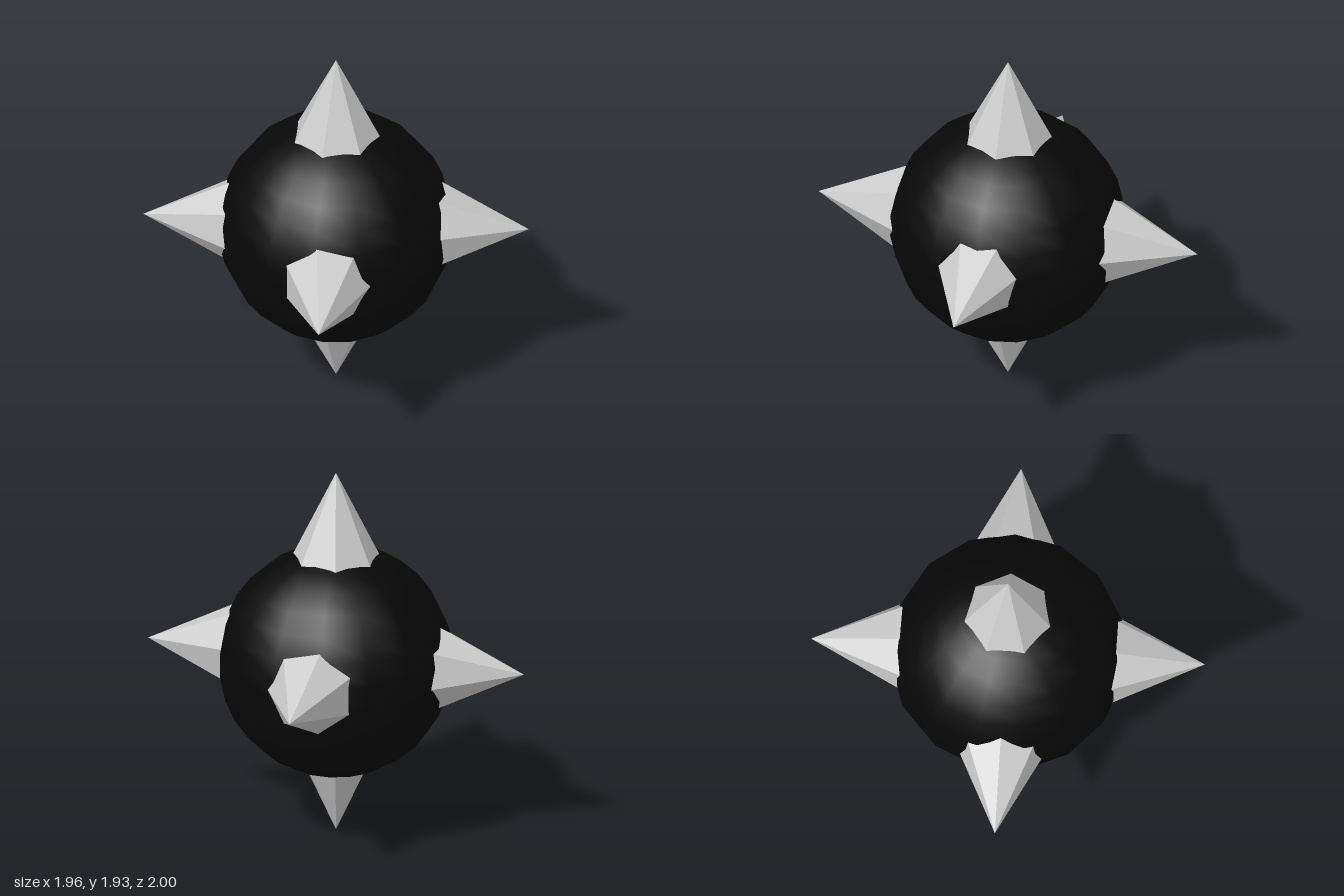
import * as THREE from 'three';

export function createModel() {
  const model = new THREE.Group();
  const centreY = 0.92;

  // Smooth dark ball, turned so its seam points to +x
  const ball = new THREE.Mesh(
    new THREE.SphereGeometry(0.6, 15, 15),
    new THREE.MeshStandardMaterial({ color: 0x080808 })
  );
  ball.name = 'ball';
  ball.rotation.y = Math.PI;
  ball.position.y = centreY;
  model.add(ball);

  // Seven-sided spike with its tip at the origin, pointing up
  const length = 0.6;
  const spikeGeometry = new THREE.ConeGeometry(0.294, length, 7, 1, false, Math.PI / 2);
  spikeGeometry.translate(0, -length / 2, 0);
  const spikeMaterial = new THREE.MeshStandardMaterial({ color: 0xcccccc, flatShading: true });

  // Name, tip position, turn about x and z
  const q = Math.PI / 2;
  const spikes = [
    ['topSpike', [0, 1.93, 0], 0, 0],
    ['bottomSpike', [0, 0, 0], Math.PI, 0],
    ['frontSpike', [0, 0.925, 1], q, 0],
    ['backSpike', [0, 0.935, -1], -q, 0],
    ['leftSpike', [0.98, 0.95, 0], 0, -q],
    ['rightSpike', [-0.98, 0.925, 0], 0, q],
  ];
  for (const [name, tip, turnX, turnZ] of spikes) {
    const spike = new THREE.Mesh(spikeGeometry, spikeMaterial);
    spike.name = name;
    spike.position.set(...tip);
    spike.rotation.set(turnX, 0, turnZ);
    model.add(spike);
  }
  return model;
}
